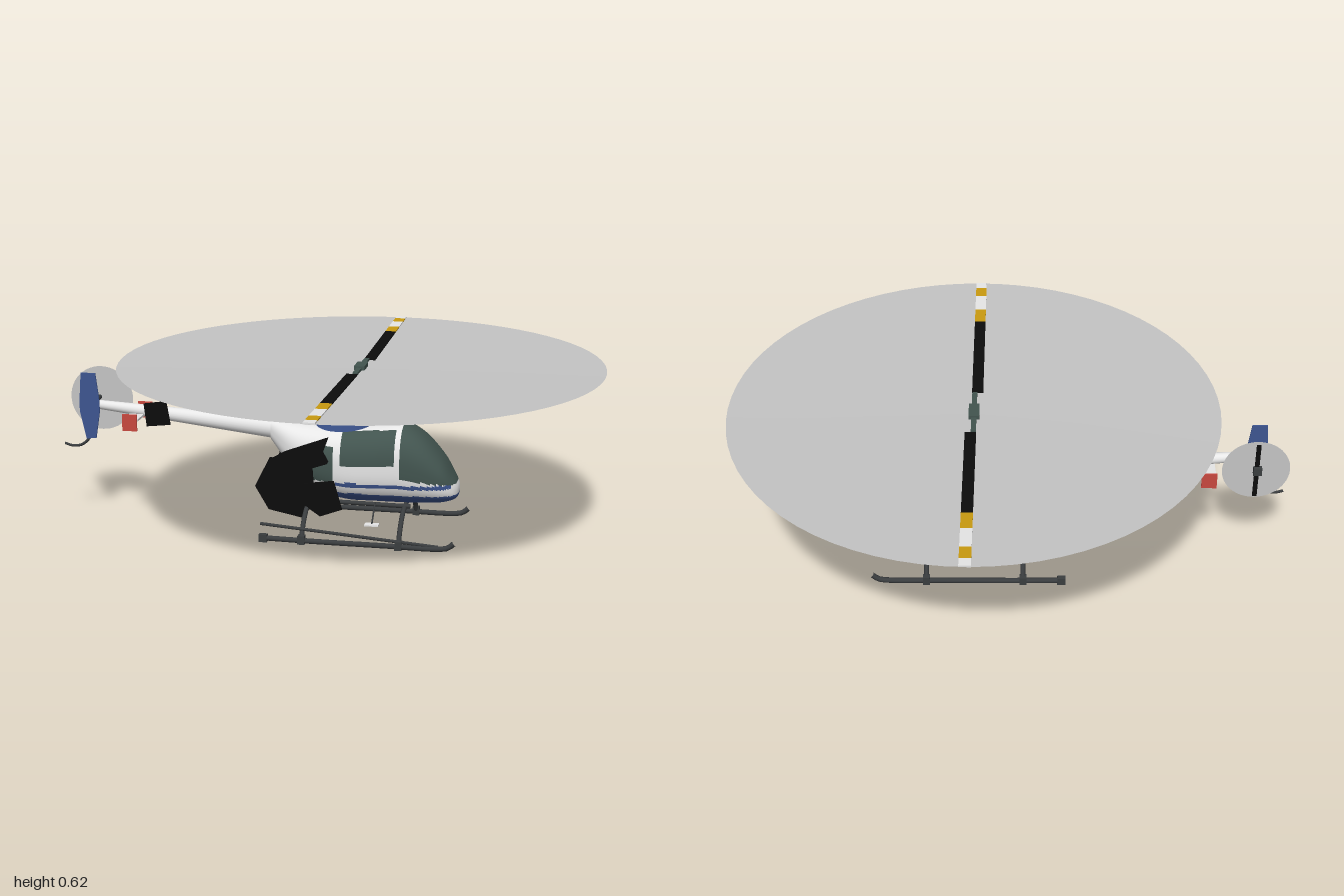
import * as THREE from 'three';

const mat = (name, color, side = THREE.FrontSide) => {
  const m = new THREE.MeshStandardMaterial({ color, side });
  m.name = name;
  return m;
};
const V = (x, y, z) => new THREE.Vector3(x, y, z);

export function createModel() {
  const model = new THREE.Group();
  const white = mat('white paint', 0xe6e6e6);
  const blue = mat('blue paint', 0x3d5590);
  const glass = mat('dark glass', 0x42544f);
  const black = mat('black', 0x0c0c0c, THREE.DoubleSide);
  const yellow = mat('yellow', 0xc99a10);
  const red = mat('red', 0xc8483f);
  const blur = mat('rotor blur grey', 0xc4c4c4, THREE.DoubleSide);
  const metal = mat('dark metal', 0x3a3d3f);

  const add = (name, geo, material, parent = model) => {
    const m = new THREE.Mesh(geo, material);
    m.name = name;
    parent.add(m);
    return m;
  };
  const box = (name, size, pos, material, parent) => {
    const m = add(name, new THREE.BoxGeometry(...size), material, parent);
    m.position.set(...pos);
    return m;
  };
  // Straight tapered bar from a to b
  const rod = (name, a, b, r0, r1, material, sides = 10) => {
    const d = b.clone().sub(a);
    const m = add(name, new THREE.CylinderGeometry(r1, r0, d.length(), sides), material);
    m.position.copy(a).addScaledVector(d, 0.5);
    m.quaternion.setFromUnitVectors(V(0, 1, 0), d.normalize());
    return m;
  };
  const plate = (name, pts, z, material) => {
    const s = new THREE.Shape(pts.map(p => new THREE.Vector2(...p)));
    const g = new THREE.ExtrudeGeometry(s, { depth: 0.006, bevelEnabled: false });
    return add(name, g.translate(0, 0, z - 0.003), material);
  };

  // Fuselage: rounded cross-sections [x, bottom, top, half width]
  const stations = [
    [-0.2, 0.325, 0.405, 0.04], [-0.12, 0.23, 0.4, 0.09], [-0.03, 0.155, 0.395, 0.115],
    [0.08, 0.125, 0.395, 0.128], [0.19, 0.123, 0.405, 0.13], [0.28, 0.123, 0.412, 0.128],
    [0.355, 0.125, 0.375, 0.12], [0.425, 0.13, 0.3, 0.1], [0.465, 0.14, 0.235, 0.072],
    [0.483, 0.152, 0.2, 0.042], [0.488, 0.174, 0.176, 0.001]];
  const outline = new THREE.CatmullRomCurve3(stations.map(s => V(s[0], s[1], s[2])), false, 'catmullrom');
  const widths = new THREE.CatmullRomCurve3(stations.map(s => V(s[3], 0, 0)), false, 'catmullrom');
  const rows = 130, cols = 120, pos = [];
  const round = v => Math.sign(v) * Math.pow(Math.abs(v), 0.8);
  for (let i = 0; i <= rows; i++) {
    const p = outline.getPoint(i / rows), w = widths.getPoint(i / rows).x;
    for (let j = 0; j < cols; j++) {
      const a = j / cols * Math.PI * 2;
      pos.push(p.x, (p.y + p.z) / 2 + (p.z - p.y) / 2 * round(Math.sin(a)), w * round(Math.cos(a)));
    }
  }
  // Paint scheme: 0 white, 1 blue, 2 glass
  const paint = (x, y, z) => {
    const side = Math.abs(z) > 0.05;
    if (x > 0.285 && y > 0.235 - (x - 0.285) * 0.15) return 2;
    if (side && x > 0.075 && x < 0.268 && y > 0.275 && y < 0.385 + (x - 0.075) * 0.08) return 2;
    if (side && x > -0.05 && x < 0.045 && y > 0.21 && y < 0.34) return 2;
    if (y < 0.168) return 1;
    if (x > 0.05 && x < 0.465 && y > 0.195 && y < 0.21) return 1;
    return 0;
  };
  const faces = [[], [], []];
  for (let i = 0; i < rows; i++) for (let j = 0; j < cols; j++) {
    const k = (j + 1) % cols;
    const a = i * cols + j, b = a + cols, c = i * cols + k, d = c + cols;
    const mid = n => (pos[a * 3 + n] + pos[b * 3 + n] + pos[c * 3 + n] + pos[d * 3 + n]) / 4;
    faces[paint(mid(0), mid(1), mid(2))].push(a, b, c, b, d, c);
  }
  const hull = new THREE.BufferGeometry();
  hull.setAttribute('position', new THREE.Float32BufferAttribute(pos, 3));
  hull.setIndex(faces.flat());
  let start = 0;
  faces.forEach((f, n) => { hull.addGroup(start, f.length, n); start += f.length; });
  hull.computeVertexNormals();
  add('fuselage', hull, [white, blue, glass]);

  // Mast fairing, tapering upwards with an upright front
  const pylon = new THREE.CylinderGeometry(1, 1, 1, 40, 6);
  const pp = pylon.attributes.position;
  for (let i = 0; i < pp.count; i++) {
    const t = pp.getY(i) + 0.5, back = -0.05 + 0.072 * t, front = 0.17 - 0.005 * t;
    pp.setXYZ(i, (back + front) / 2 + (front - back) / 2 * round(pp.getX(i)),
      0.36 + 0.2 * t + 0.008 * t * pp.getX(i), (0.07 - 0.026 * t) * round(pp.getZ(i)));
  }
  pylon.computeVertexNormals();
  add('mastFairing', pylon, blue);
  rod('mast', V(0.125, 0.55, 0), V(0.125, 0.615, 0), 0.014, 0.014, metal, 16);

  // Main rotor: shallow blur disc, hub and two banded blades
  const rotor = new THREE.Group();
  rotor.name = 'mainRotor';
  rotor.position.set(0.125, 0.605, 0);
  model.add(rotor);
  add('rotorDisc', new THREE.CylinderGeometry(0.87, 0.01, 0.015, 72, 1, true), blur, rotor).position.y = 0.0075;
  box('hub', [0.038, 0.026, 0.08], [0, 0.002, 0], glass, rotor);
  box('hubBar', [0.018, 0.014, 0.24], [0, 0.003, 0], glass, rotor);
  box('swashplate', [0.045, 0.012, 0.045], [0, -0.03, 0], metal, rotor);
  const bands = [[0.125, 0.59, black], [0.59, 0.675, yellow], [0.675, 0.77, white], [0.77, 0.83, yellow], [0.83, 0.868, white]];
  for (const turn of [0, Math.PI]) {
    const arm = new THREE.Group(), blade = new THREE.Group();
    arm.name = 'bladeArm';
    blade.name = 'blade';
    arm.rotation.y = turn;
    blade.rotation.x = 0.0172;
    rotor.add(arm);
    arm.add(blade);
    for (const [r0, r1, m] of bands)
      box('bladeBand', [0.04, 0.007, r1 - r0], [0.01, 0.001, -(r0 + r1) / 2], m, blade);
  }

  // Tail boom, fin and stabiliser
  rod('tailBoom', V(-0.16, 0.366, 0), V(-0.915, 0.428, 0), 0.039, 0.015, white, 24);
  plate('tailFin', [[-0.92, 0.545], [-0.865, 0.545], [-0.852, 0.44], [-0.852, 0.4], [-0.868, 0.3],
    [-0.905, 0.295], [-0.928, 0.4], [-0.928, 0.44]], 0.018, blue);
  box('stabiliser', [0.055, 0.008, 0.2], [-0.71, 0.395, 0], white);
  for (const s of [1, -1]) {
    box('stabiliserEndPlate', [0.055, 0.062, 0.006], [-0.712, 0.386, s * 0.1], red);
  }
  plate('boomPanel', [[-0.665, 0.36], [-0.575, 0.37], [-0.59, 0.458], [-0.675, 0.445]], 0.04, black);
  const hook = new THREE.CatmullRomCurve3([V(-0.885, 0.34, 0), V(-0.9, 0.295, 0), V(-0.93, 0.267, 0), V(-0.965, 0.26, 0), V(-0.997, 0.268, 0)]);
  add('tailGuard', new THREE.TubeGeometry(hook, 20, 0.005, 8), metal);

  // Tail rotor
  rod('tailRotorShaft', V(-0.885, 0.43, 0), V(-0.885, 0.43, -0.105), 0.009, 0.009, metal);
  const tailDisc = add('tailRotorDisc', new THREE.CircleGeometry(0.121, 48), blur);
  tailDisc.position.set(-0.876, 0.427, -0.088);
  box('tailRotorBlade', [0.016, 0.22, 0.006], [-0.878, 0.427, -0.094], black);
  box('tailRotorHub', [0.03, 0.03, 0.02], [-0.88, 0.43, -0.1], metal);

  // Dark angular panels around the engine bay
  plate('enginePanelLarge', [[-0.24, 0.18], [-0.185, 0.29], [-0.03, 0.275], [-0.02, 0.13], [-0.065, 0.07], [-0.19, 0.095]], 0.118, black);
  plate('enginePanelSmall', [[-0.06, 0.2], [0.05, 0.215], [0.08, 0.11], [0, 0.08], [-0.06, 0.12]], 0.122, black);
  plate('enginePanelUpper', [[-0.19, 0.28], [-0.13, 0.315], [0.03, 0.375], [0.01, 0.32], [0.035, 0.28], [-0.08, 0.24]], 0.12, black);
  plate('enginePanelFar', [[-0.22, 0.17], [-0.19, 0.29], [-0.09, 0.31], [-0.045, 0.2], [-0.09, 0.09], [-0.19, 0.1]], -0.115, black);

  // Landing gear
  for (const s of [1, -1]) {
    const z = s * 0.213;
    const runner = new THREE.CatmullRomCurve3([V(-0.2, 0.016, z), V(0, 0.014, z), V(0.25, 0.014, z), V(0.44, 0.014, z), V(0.475, 0.02, z), V(0.497, 0.038, z)]);
    add('skid', new THREE.TubeGeometry(runner, 40, 0.01, 8), metal);
    box('skidShoe', [0.03, 0.028, 0.02], [-0.19, 0.016, z], metal);
    for (const x of [-0.05, 0.3]) box('skidClamp', [0.025, 0.032, 0.024], [x, 0.018, z], metal);
    box('step', [0.05, 0.005, 0.03], [0.195, 0.072, s * 0.16], white);
    rod('stepPost', V(0.195, 0.072, s * 0.16), V(0.195, 0.135, s * 0.09), 0.003, 0.003, metal, 6);
    rod('gearMount', V(-0.06, 0.125, s * 0.075), V(0.32, 0.122, s * 0.075), 0.008, 0.008, metal);
  }
  rod('skidBrace', V(-0.2, 0.068, 0.21), V(0.44, 0.02, 0.21), 0.006, 0.006, metal, 8);
  for (const x of [-0.05, 0.3]) {
    const arch = new THREE.CatmullRomCurve3([V(x, 0.015, 0.213), V(x, 0.06, 0.185), V(x, 0.1, 0.135), V(x, 0.12, 0.07),
      V(x, 0.12, -0.07), V(x, 0.1, -0.135), V(x, 0.06, -0.185), V(x, 0.015, -0.213)]);
    add('crossTube', new THREE.TubeGeometry(arch, 40, 0.009, 8), metal);
  }

  // Aerial and probe
  rod('aerial', V(-0.07, 0.37, 0), V(-0.13, 0.49, 0), 0.002, 0.002, metal, 6);
  rod('probe', V(0.06, 0.46, -0.05), V(0.08, 0.5, -0.12), 0.003, 0.003, metal, 6);
  return model;
}
